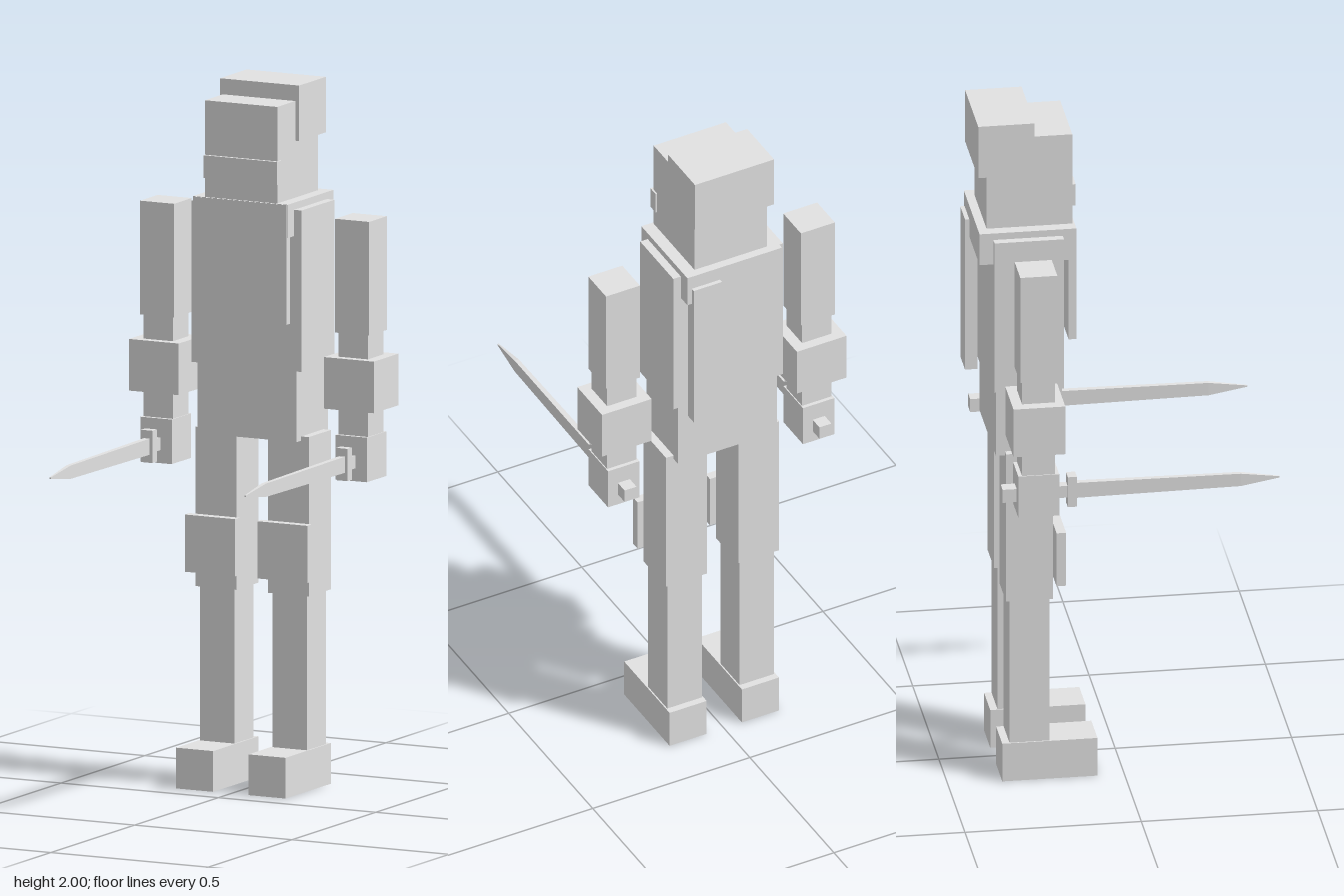
import * as THREE from 'three';

export function createModel() {
  const model = new THREE.Group();
  model.name = 'blockyFighter';
  const grey = new THREE.MeshStandardMaterial({ color: 0xe2e2e2, flatShading: true });
  grey.name = 'light grey';

  // Box given by its minimum and maximum on each axis
  const box = (parent, name, x0, x1, y0, y1, z0, z1) => {
    const mesh = new THREE.Mesh(new THREE.BoxGeometry(x1 - x0, y1 - y0, z1 - z0), grey);
    mesh.position.set((x0 + x1) / 2, (y0 + y1) / 2, (z0 + z1) / 2);
    mesh.name = name;
    parent.add(mesh);
  };

  // Head
  box(model, 'head', -0.117, 0.113, 1.66, 1.955, -0.382, -0.139);
  box(model, 'mask', -0.116, 0.118, 1.735, 1.8, -0.16, -0.129);
  box(model, 'hood', -0.127, 0.125, 1.842, 2, -0.407, -0.247);

  // Torso with vest, collar, chest panel and scabbard
  box(model, 'torso', -0.16, 0.155, 0.998, 1.65, -0.362, -0.175);
  box(model, 'vest', -0.176, 0.173, 1.2, 1.66, -0.368, -0.171);
  box(model, 'collar', -0.152, 0.149, 1.585, 1.68, -0.407, -0.134);
  box(model, 'chestPanel', -0.149, 0.146, 1.338, 1.679, -0.154, -0.132);
  box(model, 'scabbard', 0.045, 0.135, 1.175, 1.638, -0.419, -0.383);

  // Blade as a tapering loft of rectangles: [z, half width, half height]
  const blade = (parent) => {
    const sections = [[-0.158, 0.009, 0.023], [0.31, 0.0065, 0.019], [0.42, 0.002, 0.002]];
    const pos = [];
    const index = [];
    for (const [z, w, h] of sections) pos.push(-w, -h, z, w, -h, z, w, h, z, -w, h, z);
    for (let s = 0; s < sections.length - 1; s++) {
      for (let i = 0; i < 4; i++) {
        const a = s * 4 + i, b = s * 4 + (i + 1) % 4;
        index.push(a, b, b + 4, a, b + 4, a + 4);
      }
    }
    const e = (sections.length - 1) * 4;
    index.push(0, 2, 1, 0, 3, 2, e, e + 1, e + 2, e, e + 2, e + 3);
    const geo = new THREE.BufferGeometry();
    geo.setAttribute('position', new THREE.Float32BufferAttribute(pos, 3));
    geo.setIndex(index);
    geo.computeVertexNormals();
    const mesh = new THREE.Mesh(geo, grey);
    mesh.name = 'blade';
    mesh.position.y = 0.95;
    parent.add(mesh);
  };

  for (const [side, s] of [['left', 1], ['right', -1]]) {
    // Arm, centred on its own axis
    const arm = new THREE.Group();
    arm.name = side + 'Arm';
    arm.position.x = s * 0.31 - 0.001;
    box(arm, 'upperArm', -0.054, 0.054, 1.312, 1.636, -0.323, -0.218);
    box(arm, 'forearm', -0.047, 0.047, 1.01, 1.32, -0.317, -0.224);
    box(arm, 'bracer', -0.079, 0.079, 1.096, 1.243, -0.346, -0.199);
    box(arm, 'hand', -0.05, 0.05, 0.895, 1.022, -0.328, -0.212);
    // Sword held forward
    const sword = new THREE.Group();
    sword.name = side + 'Sword';
    box(sword, 'pommel', -0.019, 0.019, 0.93, 0.97, -0.368, -0.32);
    box(sword, 'grip', -0.014, 0.014, 0.932, 0.968, -0.33, -0.18);
    box(sword, 'guard', -0.018, 0.018, 0.904, 0.996, -0.183, -0.157);
    blade(sword);
    arm.add(sword);
    model.add(arm);

    // Leg
    const leg = new THREE.Group();
    leg.name = side + 'Leg';
    leg.position.x = s * 0.115 - 0.001;
    box(leg, 'thigh', -0.065, 0.065, 0.556, 1.01, -0.336, -0.203);
    box(leg, 'shin', -0.055, 0.055, 0.1, 0.57, -0.325, -0.211);
    box(leg, 'foot', -0.059, 0.059, 0, 0.116, -0.346, -0.076);
    box(leg, 'kneePad', -0.08, 0.08, 0.601, 0.764, -0.195, -0.168);
    model.add(leg);
  }
  return model;
}
